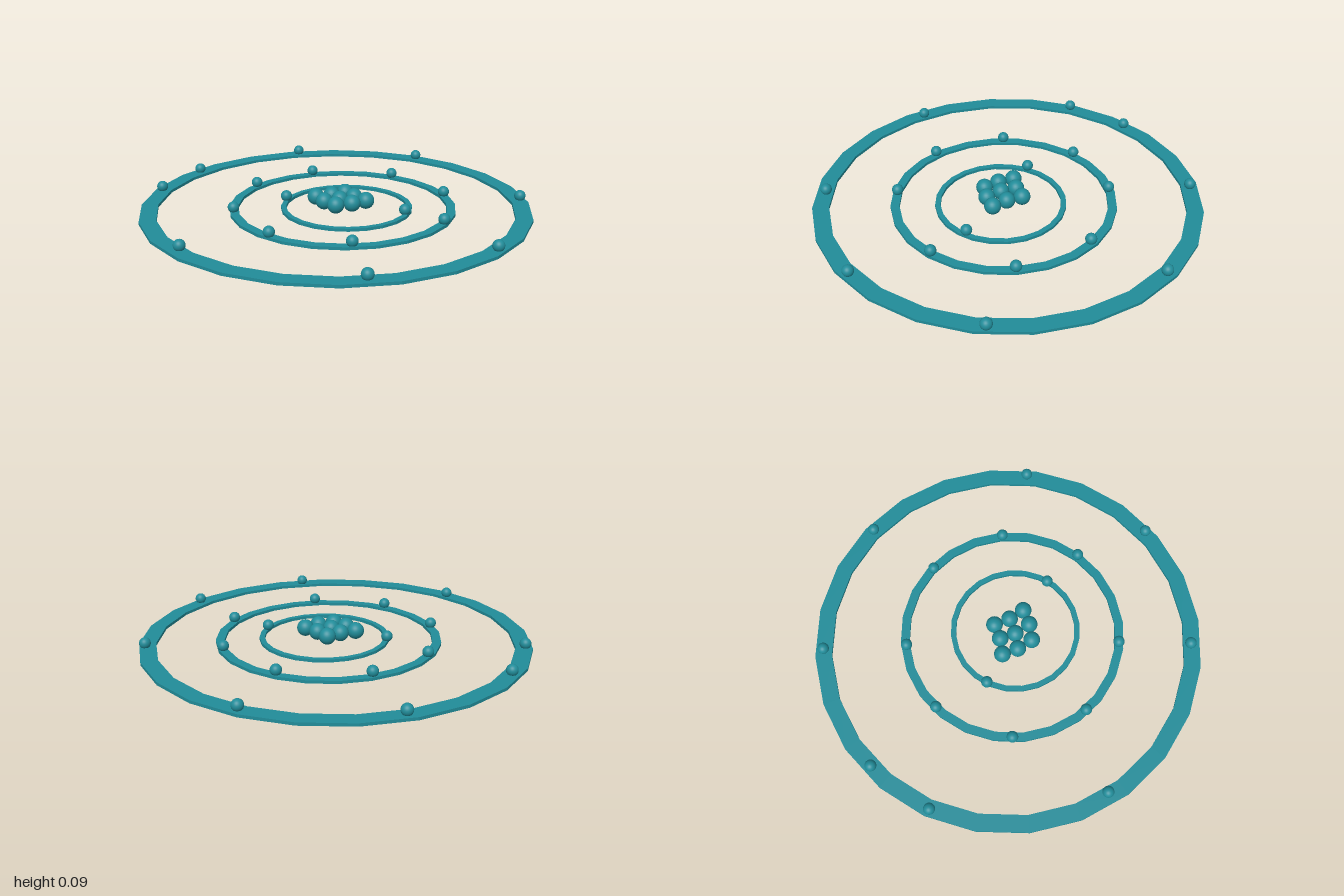
import * as THREE from 'three';

export function createModel() {
  const model = new THREE.Group();
  const material = new THREE.MeshStandardMaterial({ color: 0x218c99 });
  const flatMaterial = new THREE.MeshStandardMaterial({ color: 0x218c99, flatShading: true });

  // Flat 24-sided orbit band with a rectangular section
  function addRing(name, inner, outer, x, z) {
    const h = 0.015;
    const section = [[inner, 0], [outer, 0], [outer, h], [inner, h], [inner, 0]]
      .map(([r, y]) => new THREE.Vector2(r, y));
    const ring = new THREE.Mesh(new THREE.LatheGeometry(section, 24), flatMaterial);
    ring.name = name;
    ring.position.set(x, 0, z);
    model.add(ring);
  }

  // Group of equal balls at the given [x, z] spots
  function addBalls(name, ballName, radius, y, spots) {
    const group = new THREE.Group();
    group.name = name;
    const geometry = new THREE.SphereGeometry(radius, 32, 16);
    for (const [x, z] of spots) {
      const ball = new THREE.Mesh(geometry, material);
      ball.name = ballName;
      ball.position.set(x, y, z);
      group.add(ball);
    }
    model.add(group);
  }

  // Orbits, slightly off-centre from each other
  addRing('outerOrbit', 0.91, 0.995, 0, 0);
  addRing('middleOrbit', 0.533, 0.578, 0.037, 0.006);
  addRing('innerOrbit', 0.308, 0.335, 0.06, 0.013);

  // Nucleus cluster
  addBalls('nucleus', 'nucleon', 0.043, 0.05, [
    [0.027, -0.09], [-0.03, -0.032], [0.088, -0.032],
    [-0.102, 0.013], [0.027, 0.027], [0.16, 0.013],
    [-0.043, 0.072], [0.102, 0.072], [0.029, 0.118],
  ]);

  // Electrons resting on each orbit
  addBalls('outerElectrons', 'electron', 0.029, 0.035, [
    [0.267, -0.914], [-0.444, -0.84], [-0.885, -0.342], [-0.957, 0.011],
    [-0.53, 0.767], [0.353, 0.869], [0.856, 0.425], [0.914, -0.297],
  ]);
  addBalls('middleElectrons', 'electron', 0.029, 0.035, [
    [0.193, -0.519], [-0.251, -0.46], [-0.487, -0.179], [-0.471, 0.233],
    [-0.193, 0.513], [0.209, 0.529], [0.577, 0.147], [0.519, -0.267],
  ]);
  addBalls('innerElectrons', 'electron', 0.029, 0.035, [
    [-0.265, 0], [0.369, 0.059],
  ]);

  return model;
}
